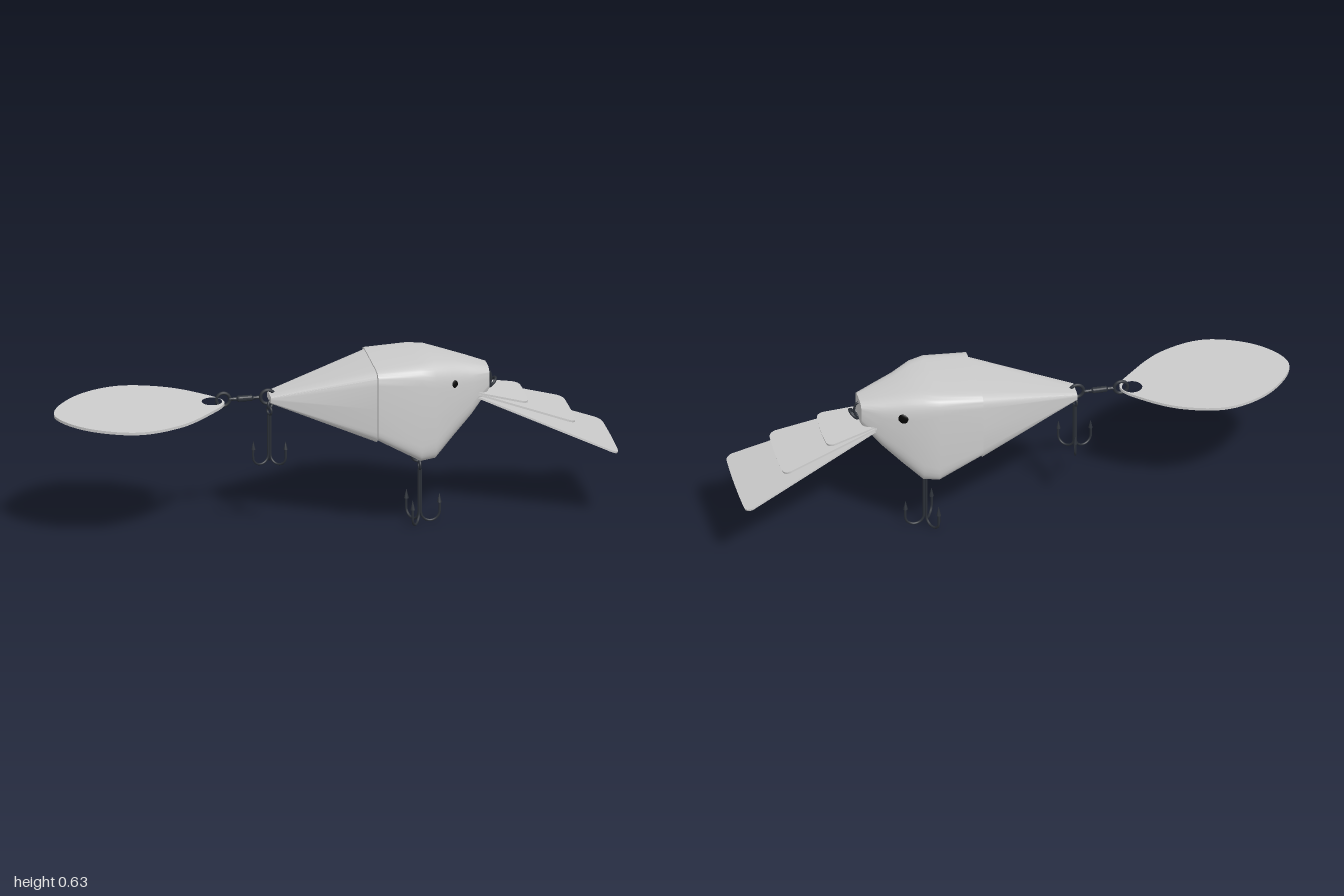
import * as THREE from 'three';
import { toCreasedNormals } from 'three/addons/utils/BufferGeometryUtils.js';

const grey = new THREE.MeshStandardMaterial({ color: 0xcccccc });
const steel = new THREE.MeshStandardMaterial({ color: 0x2a2f37 });
const black = new THREE.MeshStandardMaterial({ color: 0x050505 });
const V = (x, y, z) => new THREE.Vector3(x, y, z);

function add(parent, name, geometry, material, x = 0, y = 0, z = 0) {
  const mesh = new THREE.Mesh(geometry, material);
  mesh.name = name;
  mesh.position.set(x, y, z);
  parent.add(mesh);
  return mesh;
}

// Closed skin through rounded-box sections [x, bottom, top, halfWidth, centreZ, squareness]
function loft(sections, crease) {
  const n = 40, pos = [], index = [];
  const power = (v, e) => Math.sign(v) * Math.abs(v) ** (2 / e);
  for (const [x, y0, y1, w, cz, e] of sections) {
    for (let j = 0; j < n; j++) {
      const t = (j / n) * Math.PI * 2;
      pos.push(x, (y0 + y1) / 2 + power(Math.sin(t), e) * (y1 - y0) / 2, cz + power(Math.cos(t), e) * w);
    }
  }
  const last = sections.length - 1;
  for (const k of [0, last]) pos.push(sections[k][0], (sections[k][1] + sections[k][2]) / 2, sections[k][4]);
  for (let j = 0; j < n; j++) {
    const k = (j + 1) % n;
    for (let i = 0; i < last; i++) {
      const a = i * n + j, b = a + n, c = i * n + k, d = c + n;
      index.push(a, b, c, b, d, c);
    }
    index.push((last + 1) * n, j, k, (last + 1) * n + 1, last * n + k, last * n + j);
  }
  const g = new THREE.BufferGeometry();
  g.setAttribute('position', new THREE.Float32BufferAttribute(pos, 3));
  g.setIndex(index);
  return toCreasedNormals(g, crease);
}

// Flat plate from a shape drawn in x and z
function plate(shape, depth) {
  const g = new THREE.ExtrudeGeometry(shape, { depth, bevelEnabled: false, curveSegments: 24 });
  return g.rotateX(Math.PI / 2);
}

// Flared lip plate sloping down from (x0, y0) to (x1, y1)
function lipPlate(x0, y0, w0, x1, y1, w1) {
  const L = Math.hypot(x1 - x0, y1 - y0), r = 0.03;
  const s = new THREE.Shape();
  s.moveTo(0, -w0);
  s.lineTo(L - r, -w1);
  s.quadraticCurveTo(L - 0.003, -w1, L - 0.002, -w1 + r);
  s.quadraticCurveTo(L + 0.004, 0, L - 0.002, w1 - r);
  s.quadraticCurveTo(L - 0.003, w1, L - r, w1);
  s.lineTo(0, w0);
  s.closePath();
  return plate(s, 0.007).rotateZ(Math.atan2(y1 - y0, x1 - x0));
}

const ring = (r, tube) => new THREE.TorusGeometry(r, tube, 10, 28);

// Three-pointed hook, lowest point at y = 0
function trebleHook(name) {
  const hook = new THREE.Group();
  hook.name = name;
  const bend = 0.0335, cy = 0.038, inner = 0.005;
  const points = [V(inner, 0.2, 0), V(inner, 0.12, 0), V(inner, 0.07, 0)];
  for (let i = 0; i <= 10; i++) {
    const a = Math.PI + (i / 10) * Math.PI;
    points.push(V(inner + bend + Math.cos(a) * bend, cy + Math.sin(a) * bend, 0));
  }
  points.push(V(0.072, 0.075, 0));
  const wire = new THREE.TubeGeometry(new THREE.CatmullRomCurve3(points), 50, 0.0045, 8);
  const barb = new THREE.ConeGeometry(0.0085, 0.036, 8);
  for (let i = 0; i < 3; i++) {
    const arm = new THREE.Group();
    arm.name = 'hookArm';
    arm.rotation.y = (i * Math.PI * 2) / 3;
    add(arm, 'hookWire', wire, steel);
    add(arm, 'hookBarb', barb, steel, 0.071, 0.088, 0);
    hook.add(arm);
  }
  add(hook, 'hookEye', ring(0.016, 0.0045), steel, 0, 0.216, 0).rotation.y = Math.PI / 2;
  return hook;
}

export function createModel() {
  const model = new THREE.Group();

  // Body: boxy head tapering to the nose, and a wedge tail
  const head = [
    [0.135, 0.362, 0.620, 0.160, -0.010, 9],
    [0.290, 0.272, 0.632, 0.161, -0.008, 8],
    [0.345, 0.272, 0.632, 0.151, -0.010, 6],
    [0.415, 0.335, 0.616, 0.119, -0.015, 4.5],
    [0.485, 0.405, 0.597, 0.088, -0.014, 4],
    [0.552, 0.490, 0.576, 0.052, -0.012, 4],
  ];
  const tail = [
    [-0.225, 0.485, 0.512, 0.038, -0.022, 6],
    [0.136, 0.348, 0.615, 0.145, -0.016, 9],
  ];
  add(model, 'head', loft(head, 0.6), grey);
  add(model, 'tail', loft(tail, 0.5), grey);

  // Eyes
  for (const side of [1, -1]) {
    const eye = add(model, side > 0 ? 'leftEye' : 'rightEye', new THREE.SphereGeometry(0.02, 20, 14), black, 0.415, 0.545, -0.016 + side * 0.113);
    eye.scale.z = 0.35;
    eye.rotation.y = side > 0 ? 0.43 : Math.PI - 0.43;
  }

  // Stacked diving lip
  add(model, 'upperLip', lipPlate(0.50, 0.497, 0.072, 0.688, 0.458, 0.101), grey, 0.50, 0.497, -0.014);
  add(model, 'middleLip', lipPlate(0.49, 0.497, 0.074, 0.852, 0.382, 0.130), grey, 0.49, 0.497, -0.016);
  add(model, 'lowerLip', lipPlate(0.48, 0.492, 0.068, 0.997, 0.271, 0.174), grey, 0.48, 0.492, -0.015);

  // Nose eyelet with its wire
  const noseRing = add(model, 'noseRing', ring(0.021, 0.005), steel, 0.568, 0.507, -0.007);
  noseRing.rotation.set(0, Math.PI / 2, 0);
  noseRing.rotateX(0.75);
  const wirePath = new THREE.CatmullRomCurve3([V(0.535, 0.55, -0.007), V(0.558, 0.55, -0.007), V(0.566, 0.525, -0.007), V(0.56, 0.50, -0.007), V(0.535, 0.5, -0.007)]);
  add(model, 'noseWire', new THREE.TubeGeometry(wirePath, 24, 0.0045, 8), steel);

  // Belly and tail hooks hanging from eyelets
  add(model, 'bellyRing', ring(0.021, 0.0055), steel, 0.305, 0.25, -0.007);
  const bellyHook = trebleHook('bellyHook');
  bellyHook.position.set(0.31, 0, -0.004);
  model.add(bellyHook);

  add(model, 'tailRing', ring(0.025, 0.006), steel, -0.23, 0.5, -0.022);
  add(model, 'tailLink', ring(0.014, 0.005), steel, -0.222, 0.472, -0.018).rotation.y = 0.9;
  const tailHook = trebleHook('tailHook');
  tailHook.position.set(-0.225, 0.252, -0.015);
  tailHook.scale.setScalar(0.92);
  tailHook.rotation.y = -THREE.MathUtils.degToRad(160);
  model.add(tailHook);

  // Swivel between the tail and the blade
  const profile = [[0, -0.055], [0.006, -0.055], [0.006, -0.03], [0.011, -0.024], [0.011, 0.024], [0.006, 0.03], [0.006, 0.055], [0, 0.055]];
  const barrel = new THREE.LatheGeometry(profile.map(([r, y]) => new THREE.Vector2(r, y)), 16);
  add(model, 'swivelBarrel', toCreasedNormals(barrel, 0.6), steel, -0.311, 0.498, -0.027).rotation.z = Math.PI / 2;
  add(model, 'swivelRing', ring(0.024, 0.006), steel, -0.388, 0.498, -0.028);

  // Egg-shaped spinner blade with a hole for the ring
  const outline = [[-0.385, -0.02], [-0.46, -0.115], [-0.58, -0.195], [-0.74, -0.227], [-0.9, -0.155], [-0.998, 0], [-0.92, 0.135], [-0.74, 0.215], [-0.58, 0.175], [-0.46, 0.08]];
  const curve = new THREE.CatmullRomCurve3(outline.map(([x, z]) => V(x, z, 0)), true);
  const blade = new THREE.Shape(curve.getPoints(80).slice(0, 80).map((p) => new THREE.Vector2(p.x, p.y)));
  const hole = new THREE.Path();
  hole.absarc(-0.428, -0.028, 0.036, 0, Math.PI * 2, true);
  blade.holes.push(hole);
  add(model, 'spinnerBlade', toCreasedNormals(plate(blade, 0.01), 0.6), grey, 0, 0.493, 0).rotation.x = 0.03;

  return model;
}
